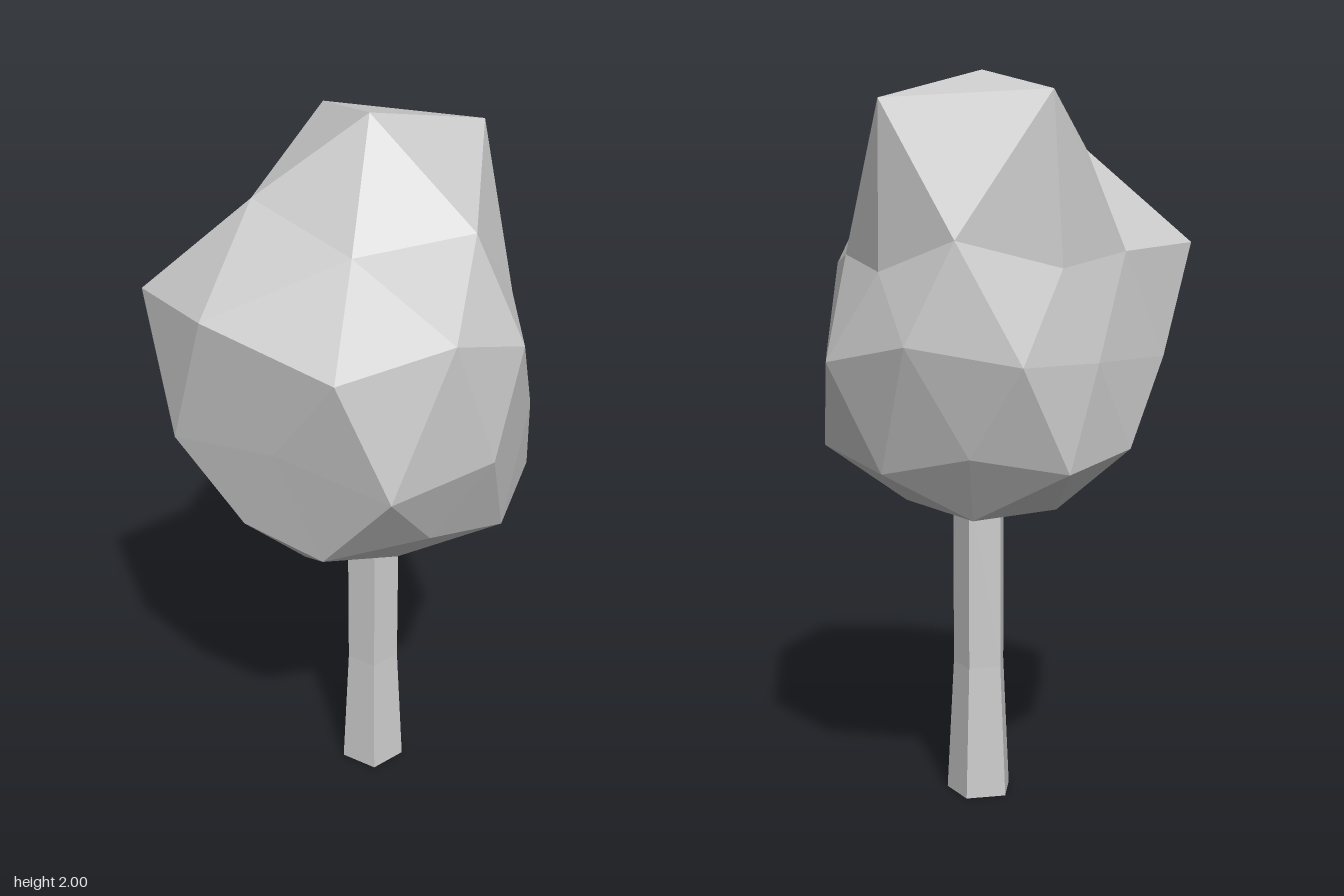
import * as THREE from 'three';
import { ConvexGeometry } from 'three/addons/geometries/ConvexGeometry.js';

// Crown corners by ring: latitude on the base icosphere, first angle (deg), then [x, y, z] at even angles
const RINGS = [
  { lat: 90, start: 0, pts: [[0.02, 2.0, 0.02]] },
  { lat: 58.28, start: 0, pts: [[0.31, 1.74, -0.01], [0.115, 1.72, 0.25], [-0.22, 1.79, 0.19], [-0.29, 1.92, -0.24], [0.12, 1.9, -0.39]] },
  { lat: 26.57, start: 0, pts: [[0.46, 1.48, 0], [0.21, 1.5, 0.475], [-0.48, 1.54, 0.325], [-0.31, 1.48, -0.22], [0.13, 1.47, -0.377]] },
  { lat: 31.72, start: 36, pts: [[0.425, 1.58, 0.285], [-0.19, 1.56, 0.46], [-0.4, 1.52, 0], [-0.105, 1.55, -0.424], [0.31, 1.51, -0.22]] },
  { lat: 0, start: 18, pts: [[0.475, 1.235, 0.165], [0.34, 1.2, 0.43], [0.01, 1.25, 0.45], [-0.315, 1.2, 0.43], [-0.455, 1.235, 0.165],
    [-0.385, 1.24, -0.155], [-0.265, 1.24, -0.37], [0.01, 1.29, -0.475], [0.29, 1.235, -0.37], [0.41, 1.245, -0.155]] },
  { lat: -26.57, start: 36, pts: [[0.34, 1.01, 0.24], [-0.11, 1.0, 0.42], [-0.42, 1.0, 0], [-0.11, 1.0, -0.35], [0.36, 1.0, -0.26]] },
  { lat: -31.72, start: 0, pts: [[0.42, 0.955, 0], [0.12, 0.95, 0.4], [-0.29, 1.0, 0.22], [-0.34, 0.96, -0.24], [0.13, 0.95, -0.37]] },
  { lat: -58.28, start: 36, pts: [[0.18, 0.84, 0.13], [-0.06, 0.805, 0.22], [-0.21, 0.82, 0], [-0.07, 0.82, -0.24], [0.18, 0.84, -0.13]] },
  { lat: -90, start: 0, pts: [[0, 0.79, 0]] },
];

// Build an even icosphere, then pull every corner to its place
function crownGeometry() {
  const dirs = [], targets = [];
  for (const { lat, start, pts } of RINGS) {
    pts.forEach((p, i) => {
      const a = THREE.MathUtils.degToRad(start + (i * 360) / pts.length);
      const l = THREE.MathUtils.degToRad(lat);
      dirs.push(new THREE.Vector3(Math.cos(l) * Math.cos(a), Math.sin(l), Math.cos(l) * Math.sin(a)));
      targets.push(p);
    });
  }
  const geo = new ConvexGeometry(dirs);
  const pos = geo.attributes.position;
  const v = new THREE.Vector3();
  for (let i = 0; i < pos.count; i++) {
    v.fromBufferAttribute(pos, i);
    let best = 0;
    dirs.forEach((d, k) => { if (d.distanceToSquared(v) < dirs[best].distanceToSquared(v)) best = k; });
    pos.setXYZ(i, ...targets[best]);
  }
  geo.computeVertexNormals();
  return geo;
}

export function createModel() {
  const tree = new THREE.Group();
  tree.name = 'tree';
  const material = new THREE.MeshStandardMaterial({ color: 0xcccccc, flatShading: true });

  // Faceted leaf crown
  const crown = new THREE.Mesh(crownGeometry(), material);
  crown.name = 'crown';
  tree.add(crown);

  // Five-sided trunk, flared at the foot, flat side to the front
  const profile = [[0, 0], [0.094, 0], [0.075, 0.37], [0.075, 0.88], [0, 0.88]].map(([r, y]) => new THREE.Vector2(r, y));
  const trunk = new THREE.Mesh(new THREE.LatheGeometry(profile, 5, Math.PI), material);
  trunk.name = 'trunk';
  trunk.position.set(0.01, 0, -0.015);
  tree.add(trunk);

  return tree;
}
